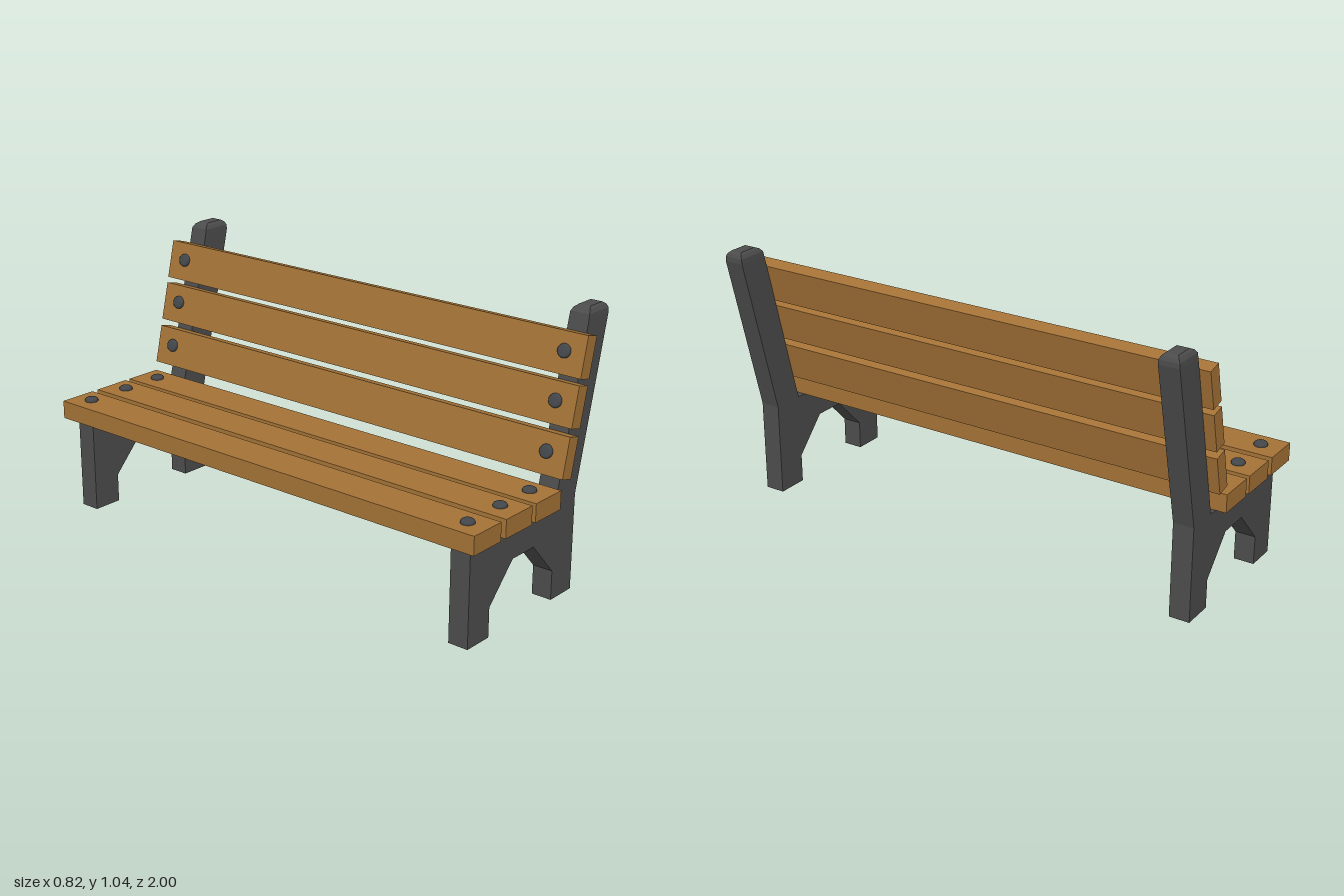
import * as THREE from 'three';

export function createModel() {
  const bench = new THREE.Group();
  bench.name = 'parkBench';
  const material = (name, color) => {
    const m = new THREE.MeshStandardMaterial({ color });
    m.name = name;
    return m;
  };
  const wood = material('wood', 0xa37236);
  const iron = material('castIron', 0x4c4c4c);
  const steel = material('boltSteel', 0x43474b);
  const add = (parent, name, geometry, mat, x = 0, y = 0, z = 0) => {
    const mesh = new THREE.Mesh(geometry, mat);
    mesh.name = name;
    mesh.position.set(x, y, z);
    parent.add(mesh);
    return mesh;
  };

  const frameZ = 0.918, halfFrame = 0.04;
  const lean = Math.atan2(0.155, 0.635);

  // Side frame: two legs, arched crossbar and leaning back post
  const outline = new THREE.Shape([
    [-0.37, 0], [-0.25, 0], [-0.25, 0.113], [-0.121, 0.249], [0.004, 0.249],
    [0.13, 0.113], [0.13, 0], [0.255, 0], [0.255, 0.37], [0.41, 1.005],
    [0.285, 1.005], [0.13, 0.37], [-0.37, 0.37],
  ].map(([x, y]) => new THREE.Vector2(x, y)));
  const frameGeo = new THREE.ExtrudeGeometry(outline, { depth: 2 * halfFrame, bevelEnabled: false });
  frameGeo.translate(0, 0, -halfFrame);

  // Rounded post cap, lofted from shrinking rectangles: y, x0, x1, half width
  const rings = [
    [1.005, 0.285, 0.41, 0.04],
    [1.024, 0.289, 0.41, 0.039],
    [1.037, 0.3, 0.404, 0.032],
    [1.045, 0.318, 0.392, 0.023],
  ];
  const positions = [], index = [];
  rings.forEach(([y, x0, x1, w], r) => {
    positions.push(x0, y, w, x1, y, w, x1, y, -w, x0, y, -w);
    if (r === 0) return;
    for (let i = 0; i < 4; i++) {
      const j = (i + 1) % 4, lo = (r - 1) * 4, hi = r * 4;
      index.push(lo + i, lo + j, hi + j, lo + i, hi + j, hi + i);
    }
  });
  const last = (rings.length - 1) * 4;
  index.push(last, last + 1, last + 2, last, last + 2, last + 3);
  let capGeo = new THREE.BufferGeometry();
  capGeo.setAttribute('position', new THREE.Float32BufferAttribute(positions, 3));
  capGeo.setIndex(index);
  capGeo = capGeo.toNonIndexed();
  capGeo.computeVertexNormals();

  for (const side of [1, -1]) {
    const frame = new THREE.Group();
    frame.name = side > 0 ? 'frontSideFrame' : 'rearSideFrame';
    frame.position.z = side * frameZ;
    add(frame, 'legsAndPost', frameGeo, iron);
    add(frame, 'postCap', capGeo, iron);
    bench.add(frame);
  }

  // Domed bolt head, standing on y = 0
  const boltGeo = new THREE.LatheGeometry(
    [[0.026, -0.004], [0.026, 0.005], [0.024, 0.01], [0.019, 0.0135], [0, 0.0135]]
      .map(([x, y]) => new THREE.Vector2(x, y)), 20);

  // Slat lying flat with a bolt near each end
  const addSlat = (name, thickness, width, boltShift) => {
    const slat = new THREE.Group();
    slat.name = name;
    add(slat, 'plank', new THREE.BoxGeometry(width, thickness, 2), wood);
    for (const side of [1, -1]) {
      add(slat, 'boltHead', boltGeo, steel, boltShift, thickness / 2, side * frameZ);
    }
    bench.add(slat);
    return slat;
  };

  // Seat slats: centre x, bolt shift
  [[-0.334, -0.001], [-0.1535, 0.003], [0.0215, 0.003]].forEach(([x, shift]) => {
    addSlat('seatSlat', 0.071, 0.153, shift).position.set(x, 0.4075, 0);
  });

  // Backrest slats, leaning with the posts
  [[0.146, 0.548], [0.188, 0.723], [0.229, 0.893]].forEach(([x, y]) => {
    const slat = addSlat('backSlat', 0.056, 0.152, 0.007);
    slat.position.set(x, y, 0);
    slat.rotation.z = Math.PI / 2 - lean;
  });

  return bench;
}
